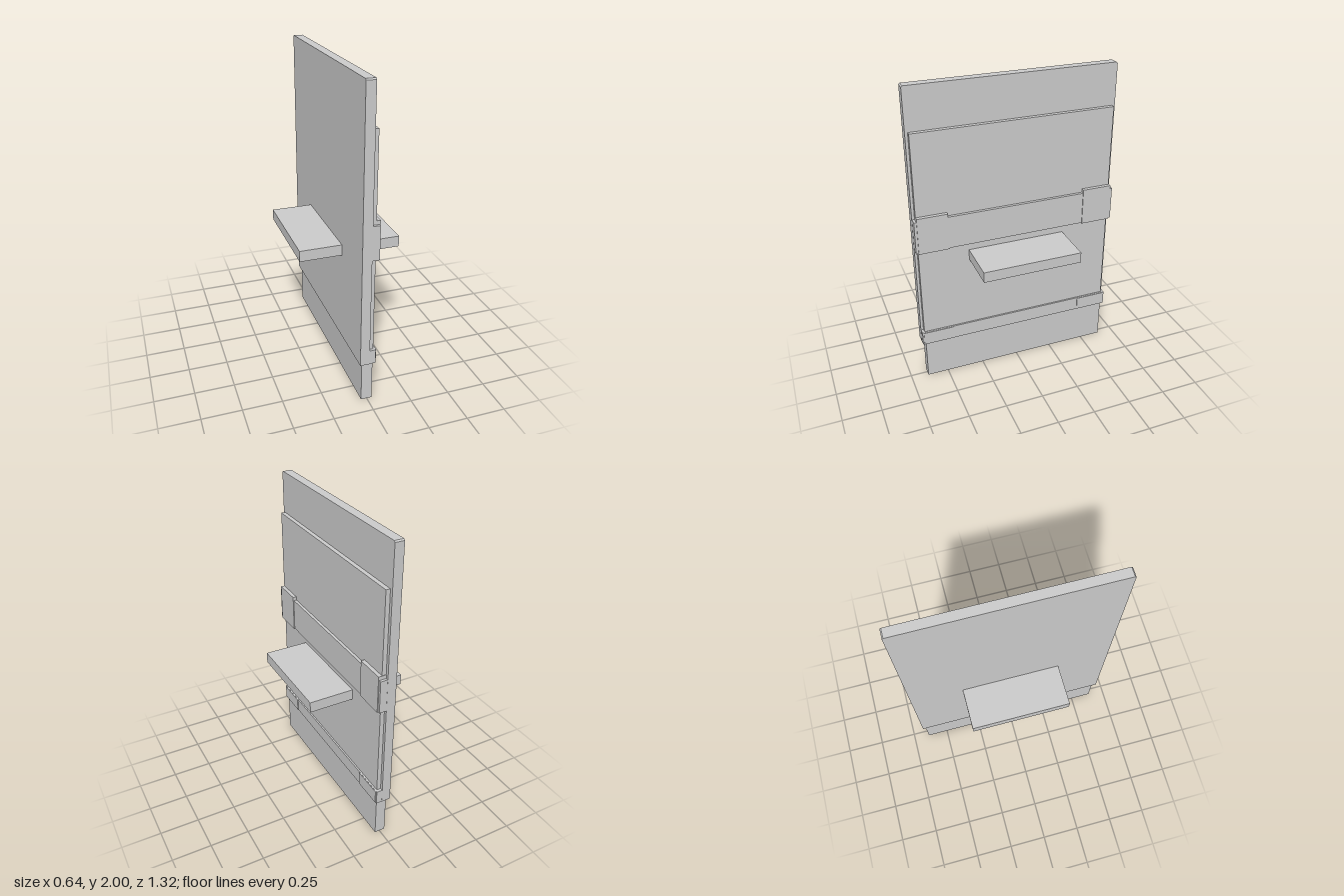
import * as THREE from 'three';

export function createModel() {
  const model = new THREE.Group();
  const material = new THREE.MeshStandardMaterial({ color: 0xcccccc, flatShading: true });

  // Box given by its [min, max] range on each axis
  function block(name, [x0, x1], [y0, y1], [z0, z1]) {
    const mesh = new THREE.Mesh(new THREE.BoxGeometry(x1 - x0, y1 - y0, z1 - z0), material);
    mesh.position.set((x0 + x1) / 2, (y0 + y1) / 2, (z0 + z1) / 2);
    mesh.name = name;
    model.add(mesh);
  }

  // Main board with slightly clipped top corners, extruded along x
  const outline = new THREE.Shape([
    [-0.66, 0.27], [0.66, 0.27], [0.66, 1.992], [0.652, 2], [-0.652, 2], [-0.66, 1.992],
  ].map(([z, y]) => new THREE.Vector2(z, y)));
  const boardGeometry = new THREE.ExtrudeGeometry(outline, { depth: 0.059, bevelEnabled: false });
  boardGeometry.rotateY(Math.PI / 2).translate(-0.054, 0, 0);
  const board = new THREE.Mesh(boardGeometry, material);
  board.name = 'mainBoard';
  model.add(board);

  // Thin facing panel, and the plinth continuing it to the ground
  block('facingPanel', [0, 0.032], [0.27, 1.732], [-0.64, 0.643]);
  block('plinth', [-0.037, 0.032], [0, 0.3], [-0.642, 0.638]);

  // Horizontal rails across the facing
  block('middleRail', [0, 0.051], [0.968, 1.182], [-0.659, 0.659]);
  block('lowerRail', [0, 0.043], [0.271, 0.364], [-0.659, 0.659]);

  // Slightly raised pads at both ends of each rail
  for (const side of [-1, 1]) {
    const span = (a, b) => (side > 0 ? [a, b] : [-b, -a]);
    block('middleRailPad', [0, 0.056], [0.964, 1.206], span(0.45, 0.643));
    block('lowerRailPad', [0, 0.048], [0.274, 0.362], span(0.45, 0.65));
  }

  // Shelf passing through the board
  block('shelf', [-0.32, 0.32], [0.847, 0.917], [-0.32, 0.32]);

  return model;
}
